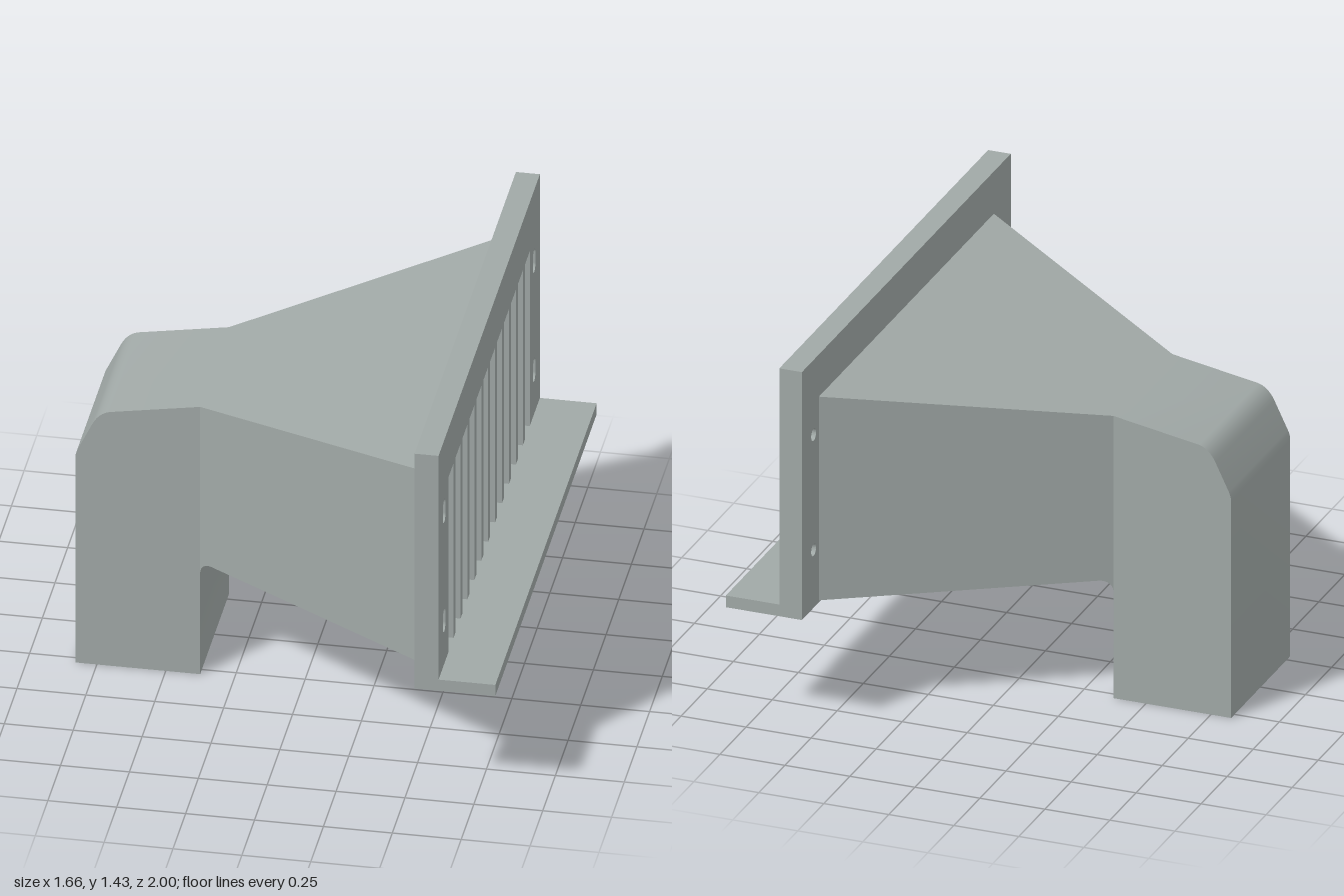
import * as THREE from 'three';
import { toCreasedNormals } from 'three/addons/utils/BufferGeometryUtils.js';

const V = (x, y) => new THREE.Vector2(x, y);
const PLATE_BACK = 0.535, PLATE_FRONT = 0.622;

// Points of a rounded corner
function corner(a, c, b, n = 6) {
  return new THREE.QuadraticBezierCurve(V(...a), V(...c), V(...b)).getPoints(n);
}

// One skin of the duct: an elbow of constant width, then a flare to the plate
function ductSkin({ back, bend, w0, w1, floor, r, endTop, lowCorner, topCorner, inward }) {
  const width = x => w0 + (w1 - w0) * Math.max(0, (x - bend) / (PLATE_BACK - bend));
  const topEnd = topCorner[2];
  const t = (bend - topEnd[0]) / (PLATE_BACK - topEnd[0]);
  const bendTop = V(bend, topEnd[1] + t * (endTop - topEnd[1]));
  const elbowTop = [V(back, 0), ...corner(...lowCorner, 3), ...corner(...topCorner), bendTop];
  const upper = [...elbowTop, V(PLATE_BACK, endTop)];
  const fillet = [];
  for (let i = 0; i <= 8; i++) {
    const a = (i / 8) * Math.PI / 2;
    fillet.push(V(bend + r - r * Math.sin(a), floor - r + r * Math.cos(a)));
  }
  const lower = [V(PLATE_BACK, floor), ...fillet, V(bend, 0)];

  const pos = [];
  const tri = (a, b, c) => (inward ? [a, c, b] : [a, b, c]).forEach(p => pos.push(...p));
  const at = (p, s) => [p.x, p.y, s * width(p.x)];
  // Strips across the top, back and underside
  for (const path of [upper, lower]) {
    for (let i = 0; i < path.length - 1; i++) {
      const p = path[i], q = path[i + 1];
      tri(at(p, 1), at(q, 1), at(q, -1));
      tri(at(p, 1), at(q, -1), at(p, -1));
    }
  }
  // Flat cheeks on both sides
  const elbow = [...elbowTop, fillet[8], V(bend, 0)];
  const flare = [bendTop, V(PLATE_BACK, endTop), V(PLATE_BACK, floor), ...fillet];
  for (const outline of [elbow, flare]) {
    if (THREE.ShapeUtils.isClockWise(outline)) outline.reverse();
    for (const [a, b, c] of THREE.ShapeUtils.triangulateShape(outline, [])) {
      const [p, q, s] = [outline[a], outline[b], outline[c]];
      tri(at(p, 1), at(q, 1), at(s, 1));
      tri(at(p, -1), at(s, -1), at(q, -1));
    }
  }
  const g = new THREE.BufferGeometry();
  g.setAttribute('position', new THREE.Float32BufferAttribute(pos, 3));
  return toCreasedNormals(g, 0.5);
}

function rect(Type, x0, y0, x1, y1) {
  return new Type([V(x0, y0), V(x1, y0), V(x1, y1), V(x0, y1)]);
}

// Upright slot with round ends
function slot(Type, x, y, r, half) {
  const s = new Type();
  s.absarc(x, y + half, r, 0, Math.PI, false);
  s.absarc(x, y - half, r, Math.PI, Math.PI * 2, false);
  s.closePath();
  return s;
}

// Extrude a z-y outline along +x, starting from x0
function extrudeX(shape, x0, depth) {
  const g = new THREE.ExtrudeGeometry(shape, { depth, bevelEnabled: false, curveSegments: 12 });
  return g.rotateY(Math.PI / 2).translate(x0, 0, 0);
}

export function createModel() {
  const model = new THREE.Group();
  model.name = 'ventDuct';
  const grey = new THREE.MeshStandardMaterial({ color: 0xa0a8a6 });
  grey.name = 'grey plastic';
  const add = (name, geometry) => {
    const m = new THREE.Mesh(geometry, grey);
    m.name = name;
    model.add(m);
    return m;
  };

  // Hollow duct
  add('ductOuter', ductSkin({
    back: -0.828, bend: -0.375, w0: 0.283, w1: 0.838, floor: 0.466, r: 0.045, endTop: 1.267,
    lowCorner: [[-0.828, 0.85], [-0.828, 0.87], [-0.819, 0.888]],
    topCorner: [[-0.768, 0.994], [-0.745, 1.043], [-0.705, 1.053]],
  }));
  add('ductInner', ductSkin({
    back: -0.79, bend: -0.413, w0: 0.246, w1: 0.8, floor: 0.503, r: 0.08, endTop: 1.23,
    lowCorner: [[-0.79, 0.84], [-0.79, 0.86], [-0.781, 0.878]],
    topCorner: [[-0.735, 0.968], [-0.715, 1.005], [-0.685, 1.016]],
    inward: true,
  }));

  // Rim around the lower opening
  const rim = rect(THREE.Shape, -0.828, -0.283, -0.375, 0.283);
  rim.holes.push(rect(THREE.Path, -0.79, -0.246, -0.413, 0.246));
  add('outletRim', new THREE.ShapeGeometry(rim).rotateX(Math.PI / 2));

  // Mounting plate with grille openings and screw slots
  const plate = rect(THREE.Shape, -1, 0.458, 1, 1.433);
  const count = 12, bar = 0.04, open = (1.6 - (count - 1) * bar) / count;
  for (let i = 0; i < count; i++) {
    const z = -0.8 + i * (open + bar);
    plate.holes.push(rect(THREE.Path, z, 0.504, z + open, 1.23));
  }
  const screws = [];
  for (const z of [-0.888, 0.888]) for (const y of [0.686, 1.139]) screws.push([z, y]);
  for (const [z, y] of screws) plate.holes.push(slot(THREE.Path, z, y, 0.025, 0.022));
  add('grillePlate', extrudeX(plate, PLATE_BACK, PLATE_FRONT - PLATE_BACK));

  // Round screw holes at the back of each slot
  for (const [z, y] of screws) {
    const seat = slot(THREE.Shape, z, y, 0.025, 0.022);
    seat.holes.push(new THREE.Path().absarc(z, y, 0.0235, 0, Math.PI * 2, true));
    add('screwSeat', extrudeX(seat, PLATE_BACK, 0.043));
  }

  // Shelf along the foot of the plate
  const shelf = add('shelf', new THREE.BoxGeometry(0.828 - PLATE_FRONT, 0.046, 2));
  shelf.position.set((0.828 + PLATE_FRONT) / 2, 0.481, 0);

  return model;
}
